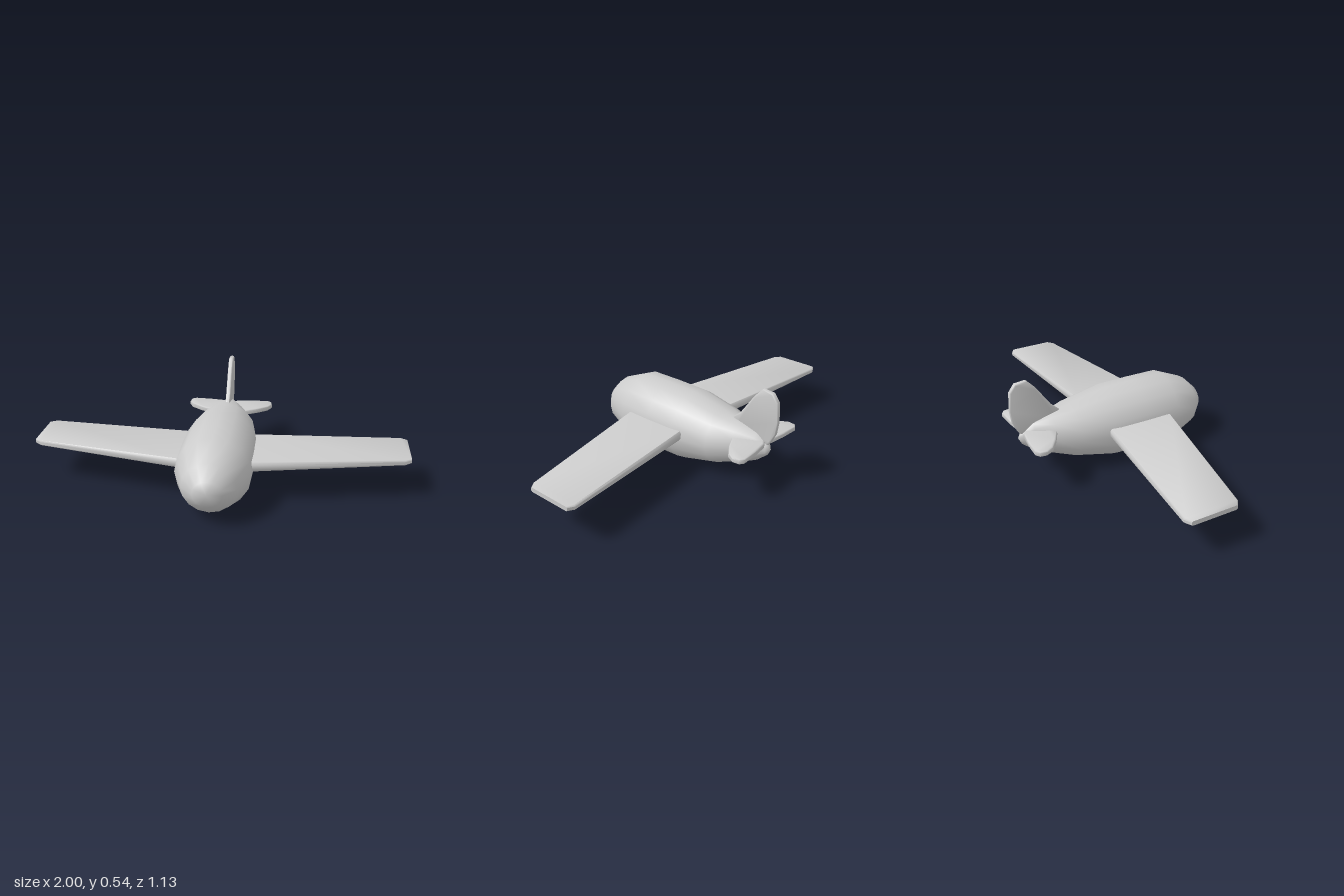
import * as THREE from 'three';
import { toCreasedNormals } from 'three/addons/utils/BufferGeometryUtils.js';

const material = new THREE.MeshStandardMaterial({ color: 0xcccccc });

// Skin over a row of rings, closed at both ends by a fan to a tip point.
function loft(rings, startTip, endTip) {
  const n = rings[0].length;
  const points = [...rings.flat(), startTip, endTip];
  const start = points.length - 2, end = points.length - 1;
  const last = (rings.length - 1) * n;
  const index = [];
  for (let j = 0; j < n; j++) {
    const k = (j + 1) % n;
    index.push(start, j, k, end, last + k, last + j);
    for (let i = 0; i < last; i += n) {
      index.push(i + j, i + n + j, i + k, i + k, i + n + j, i + n + k);
    }
  }
  const geometry = new THREE.BufferGeometry();
  geometry.setAttribute('position', new THREE.Float32BufferAttribute(points.flat(), 3));
  geometry.setIndex(index);
  geometry.computeVertexNormals();
  return geometry;
}

// Flat plate with rounded rims, centred on z = 0 and kept inside its outline.
function plate(outline, thickness) {
  const shape = new THREE.Shape();
  outline.forEach(([x, y], i) => (i ? shape.lineTo(x, y) : shape.moveTo(x, y)));
  const bevel = thickness * 0.38;
  const geometry = new THREE.ExtrudeGeometry(shape, {
    depth: thickness - 2 * bevel,
    bevelThickness: bevel, bevelSize: bevel, bevelOffset: -bevel, bevelSegments: 3,
  });
  geometry.translate(0, 0, bevel - thickness / 2);
  return geometry;
}

function addMesh(parent, name, geometry) {
  const mesh = new THREE.Mesh(geometry, material);
  mesh.name = name;
  parent.add(mesh);
  return mesh;
}

export function createModel() {
  const model = new THREE.Group();
  model.name = 'airplane';

  // Fuselage stations: z, bottom, top, half width
  const stations = [
    [0.545, 0.125, 0.26, 0.075],
    [0.48, 0.06, 0.325, 0.14],
    [0.33, 0.002, 0.39, 0.197],
    [0.15, 0, 0.392, 0.2],
    [-0.02, 0.002, 0.39, 0.197],
    [-0.23, 0.053, 0.35, 0.163],
    [-0.35, 0.097, 0.325, 0.105],
    [-0.445, 0.135, 0.3, 0.055],
    [-0.505, 0.185, 0.255, 0.025],
  ];
  const sides = 16;
  const bodyRings = stations.map(([z, bottom, top, halfWidth]) =>
    Array.from({ length: sides }, (_, j) => {
      const a = (j / sides) * Math.PI * 2;
      return [halfWidth * Math.cos(a), (top + bottom) / 2 + (top - bottom) / 2 * Math.sin(a), z];
    }));
  addMesh(model, 'fuselage', loft(bodyRings, [0, 0.2, 0.565], [0, 0.223, -0.525]));

  // Wing: a blunt section swept along tapering stations
  const section = [[1, -0.5], [1, 0.5], [0.95, 1], [-0.95, 1],
    [-1, 0.5], [-1, -0.5], [-0.95, -1], [0.95, -1]];
  // x, leading z, trailing z, half thickness
  const span = [
    [0.1, 0.3, -0.077, 0.026],
    [0.2, 0.28, -0.087, 0.025],
    [0.965, 0.133, -0.159, 0.014],
    [1, 0.108, -0.14, 0.012],
  ];
  const wingRings = span.map(([x, lead, trail, half]) =>
    section.map(([s, t]) => [x, t * half, (lead + trail) / 2 + s * (lead - trail) / 2]));
  const wing = toCreasedNormals(loft(wingRings, [0.1, 0, 0.11], [1, 0, -0.016]), 0.9);

  // Tailplane outline in x, -z
  const tailplane = plate([
    [0, 0.36], [0.095, 0.347], [0.165, 0.385], [0.225, 0.43], [0.245, 0.47],
    [0.24, 0.508], [0.215, 0.525], [0.12, 0.52], [0.035, 0.508], [0, 0.485],
  ], 0.03);
  tailplane.rotateX(-Math.PI / 2);
  const tailGeometry = toCreasedNormals(tailplane, 0.9);

  // Both are symmetric top to bottom, so a half turn gives the other side
  for (const [side, turn] of [['left', 0], ['right', Math.PI]]) {
    const wingMesh = addMesh(model, side + 'Wing', wing);
    wingMesh.position.y = 0.217;
    wingMesh.rotation.z = turn;
    const tailMesh = addMesh(model, side + 'Tailplane', tailGeometry);
    tailMesh.position.y = 0.252;
    tailMesh.rotation.z = turn;
  }

  // Upright fin, outlined in -z, y
  const fin = plate([
    [0.3, 0.28], [0.5, 0.235], [0.525, 0.265], [0.552, 0.32], [0.563, 0.39],
    [0.558, 0.495], [0.527, 0.538], [0.465, 0.543], [0.415, 0.49], [0.335, 0.375], [0.285, 0.33],
  ], 0.026);
  fin.rotateY(Math.PI / 2);
  addMesh(model, 'tailFin', toCreasedNormals(fin, 0.9));

  return model;
}
